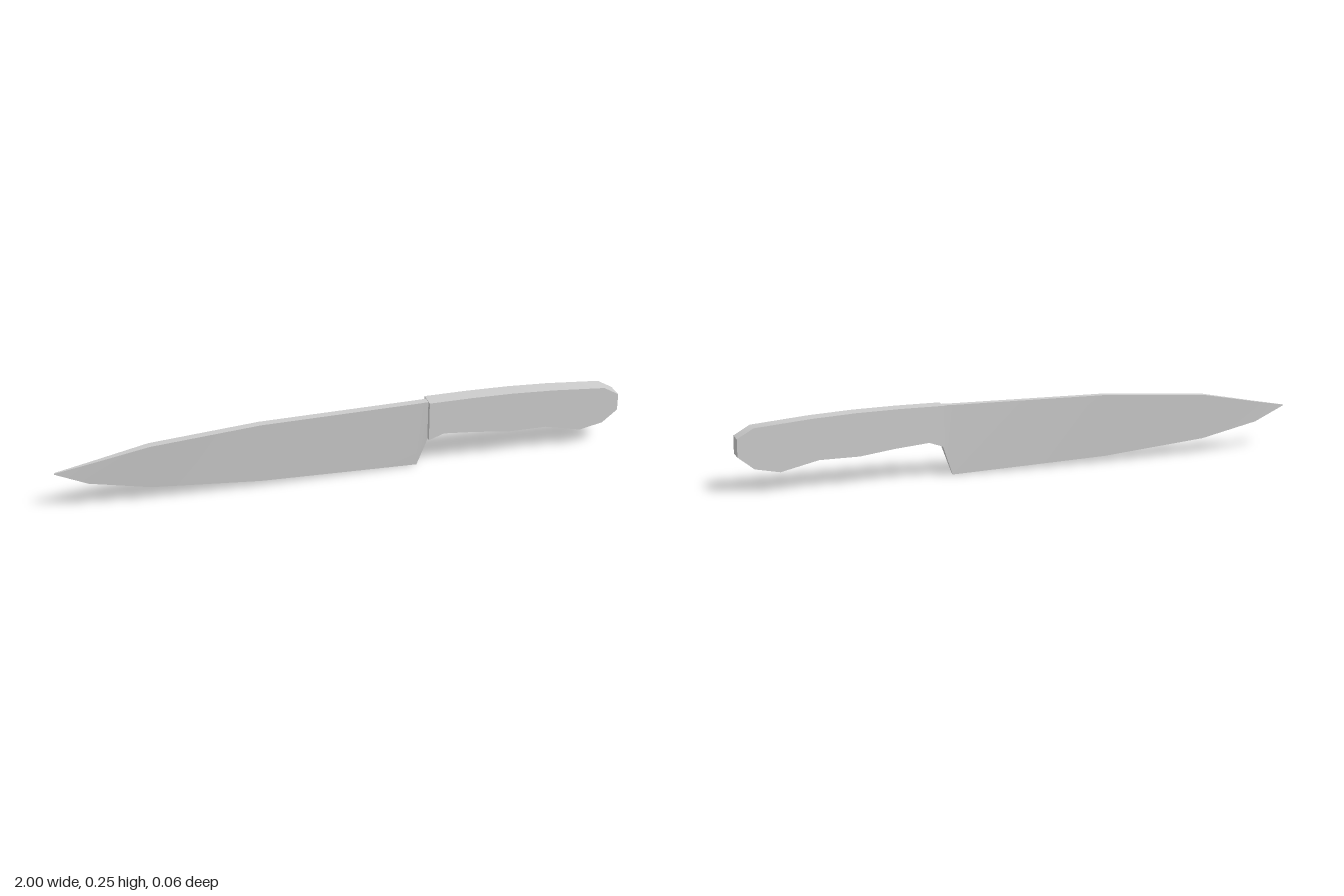
import * as THREE from 'three';
import { toCreasedNormals } from 'three/addons/utils/BufferGeometryUtils.js';

// Joins four-cornered sections [x, topY, bottomY, topHalfDepth, bottomHalfDepth] along x
function loftBlade(sections) {
  const pos = [];
  const rings = sections.map(([x, top, bottom, dt, db]) => [
    [x, top, dt], [x, bottom, db], [x, bottom, -db], [x, top, -dt],
  ]);
  const quad = (a, b, c, d) => pos.push(...a, ...b, ...c, ...a, ...c, ...d);
  for (let i = 0; i < rings.length - 1; i++) {
    const p = rings[i], q = rings[i + 1];
    for (let j = 0; j < 4; j++) {
      const k = (j + 1) % 4;
      quad(p[k], q[k], q[j], p[j]);
    }
  }
  quad(...[...rings[0]].reverse());
  quad(...rings[rings.length - 1]);
  const geo = new THREE.BufferGeometry();
  geo.setAttribute('position', new THREE.Float32BufferAttribute(pos, 3));
  return toCreasedNormals(geo, 0.4);
}

export function createModel() {
  const group = new THREE.Group();
  group.name = 'kitchenKnife';
  const material = new THREE.MeshStandardMaterial({ color: 0xcccccc });

  // Blade: thick spine, thin cutting edge, slanted heel
  const blade = new THREE.Mesh(loftBlade([
    [-1, 0.153, 0.15, 0.003, 0.003],
    [-0.89, 0.173, 0.099, 0.007, 0.003],
    [-0.68, 0.213, 0.053, 0.014, 0.003],
    [-0.3, 0.24, 0.019, 0.014, 0.003],
    [0.26, 0.245, 0.0, 0.014, 0.003],
    [0.297, 0.246, 0.105, 0.014, 0.0125],
  ]), material);
  blade.name = 'blade';
  group.add(blade);

  // Handle: flat-sided slab with a finger-shaped underside
  const outline = [
    [0.295, 0.105], [0.35, 0.124], [0.47, 0.113], [0.59, 0.097], [0.73, 0.096],
    [0.86, 0.066], [0.945, 0.083], [1, 0.127], [1, 0.188], [0.945, 0.22],
    [0.75, 0.237], [0.6, 0.245], [0.45, 0.248], [0.295, 0.248],
  ].map(([x, y]) => new THREE.Vector2(x, y));
  const depth = 0.06;
  const slab = new THREE.ExtrudeGeometry(new THREE.Shape(outline), { depth, bevelEnabled: false });
  slab.translate(0, 0, -depth / 2);
  const handle = new THREE.Mesh(toCreasedNormals(slab, 0.7), material);
  handle.name = 'handle';
  group.add(handle);

  return group;
}
